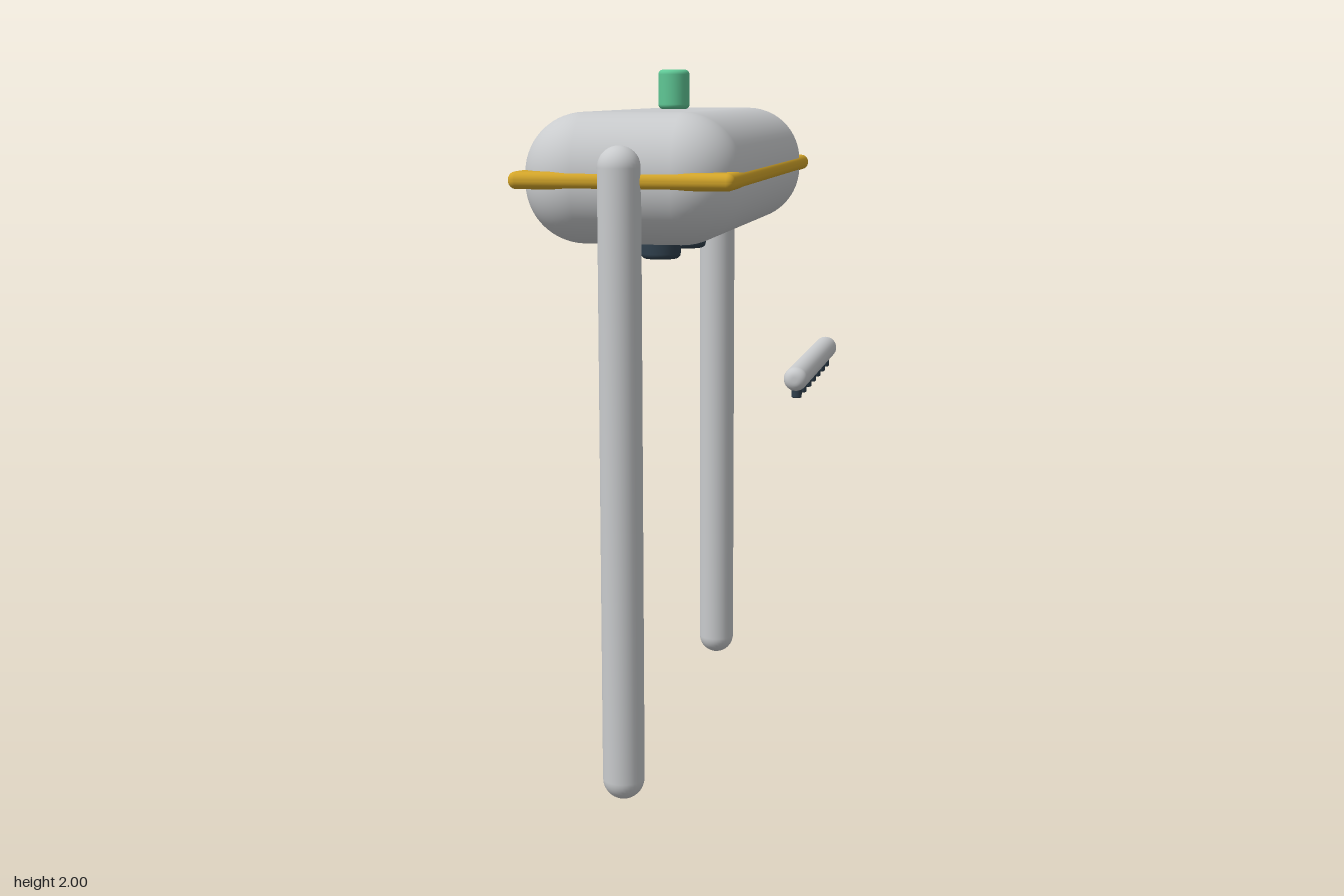
import * as THREE from 'three';
import { RoundedBoxGeometry } from 'three/addons/geometries/RoundedBoxGeometry.js';

const mat = (name, color) => {
  const m = new THREE.MeshStandardMaterial({ color });
  m.name = name;
  return m;
};

// Upright cylinder with rounded rims, centred on its own middle
function roundedCylinder(radius, height, bevel, segments = 32) {
  const h = height / 2, steps = 6, pts = [new THREE.Vector2(0, -h)];
  for (const side of [-1, 1]) {
    for (let i = 0; i <= steps; i++) {
      const a = ((side < 0 ? i - steps : i) / steps) * Math.PI / 2;
      pts.push(new THREE.Vector2(radius - bevel + bevel * Math.cos(a), side * (h - bevel) + bevel * Math.sin(a)));
    }
  }
  pts.push(new THREE.Vector2(0, h));
  return new THREE.LatheGeometry(pts, segments);
}

export function createModel() {
  const model = new THREE.Group();
  model.name = 'model';
  const grey = mat('light grey', 0xc9cbcd);
  const gold = mat('gold', 0xd4a62a);
  const green = mat('green', 0x5fc795);
  const dark = mat('dark slate', 0x2f3f4c);
  const cx = -0.075;

  const add = (name, geometry, material, x, y, z) => {
    const mesh = new THREE.Mesh(geometry, material);
    mesh.name = name;
    mesh.position.set(x, y, z);
    model.add(mesh);
    return mesh;
  };

  // Overhead housing and its trim band
  add('housing', new RoundedBoxGeometry(0.6, 0.356, 1.314, 8, 0.165), grey, cx, 1.706, 0);
  add('trimBand', new RoundedBoxGeometry(0.615, 0.047, 1.332, 5, 0.022), gold, cx, 1.706, 0);

  // Beacon on the roof
  add('beacon', roundedCylinder(0.046, 0.115, 0.014), green, cx, 1.9425, 0);

  // Support posts and underside sensors, front and back
  const post = new THREE.CapsuleGeometry(0.058, 1.8 - 0.116, 10, 32);
  const sensor = roundedCylinder(0.058, 0.06, 0.015);
  for (const [side, s] of [['front', 1], ['back', -1]]) {
    add(side + 'Post', post, grey, cx, 0.9, s * 0.658);
    add(side + 'Sensor', sensor, dark, cx, 1.49, s * 0.18);
  }

  // Spray bar with a row of nozzles below it
  add('sprayBar', roundedCylinder(0.034, 0.668, 0.026), grey, 0.344, 1.14, 0).rotation.x = Math.PI / 2;
  const nozzle = roundedCylinder(0.0145, 0.05, 0.004, 16);
  for (let i = -3; i <= 3; i++) add('nozzle', nozzle, dark, 0.344, 1.108, i * 0.096);

  return model;
}
